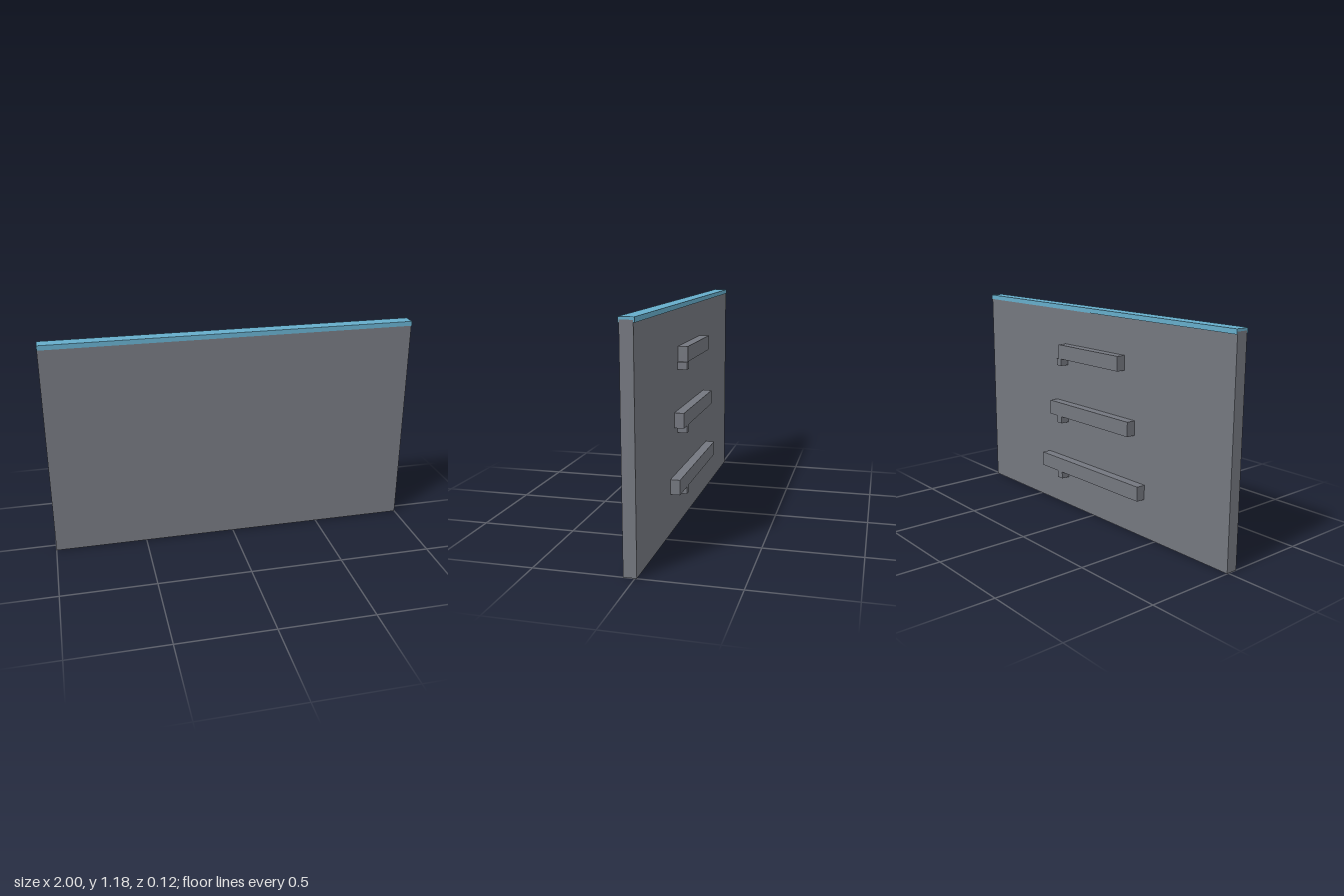
import * as THREE from 'three';

export function createModel() {
  const model = new THREE.Group();
  model.name = 'wallPanel';
  const grey = new THREE.MeshStandardMaterial({ color: 0x74777f });
  grey.name = 'slate grey';
  const blue = new THREE.MeshStandardMaterial({ color: 0x66adcb });
  blue.name = 'trim blue';

  const front = 0.056, back = -0.009, panelTop = 1.166;

  // Box given by its lower and upper limits on each axis
  function box(name, x0, x1, y0, y1, z0, z1, parent) {
    const mesh = new THREE.Mesh(new THREE.BoxGeometry(x1 - x0, y1 - y0, z1 - z0), grey);
    mesh.position.set((x0 + x1) / 2, (y0 + y1) / 2, (z0 + z1) / 2);
    mesh.name = name;
    parent.add(mesh);
  }

  // Main slab
  box('panel', -1, 1, 0, panelTop, back, front, model);

  // Channel-shaped cap, open at both ends, folded over the top edge
  const lip = 0.005, capTop = 1.179, capBottom = 1.154;
  const profile = new THREE.Shape([
    [back - lip, capBottom], [back, capBottom], [back, panelTop], [front, panelTop],
    [front, capBottom], [front + lip, capBottom], [front + lip, capTop], [back - lip, capTop],
  ].map(([z, y]) => new THREE.Vector2(z, y)));
  const capGeometry = new THREE.ExtrudeGeometry(profile, { depth: 2, bevelEnabled: false });
  capGeometry.rotateY(-Math.PI / 2).translate(1, 0, 0);
  const cap = new THREE.Mesh(capGeometry, blue);
  cap.name = 'topCap';
  model.add(cap);

  // Three rear rails, longer towards the bottom, each with a small tab below
  [[0.25, 0.88], [0.333, 0.545], [0.415, 0.212]].forEach(([half, y]) => {
    const rail = new THREE.Group();
    rail.name = 'rearRail';
    box('railBar', -half, half, y, y + 0.08, -0.06, back, rail);
    box('railTab', 0.228, 0.268, y - 0.039, y, -0.06, back, rail);
    model.add(rail);
  });

  return model;
}
